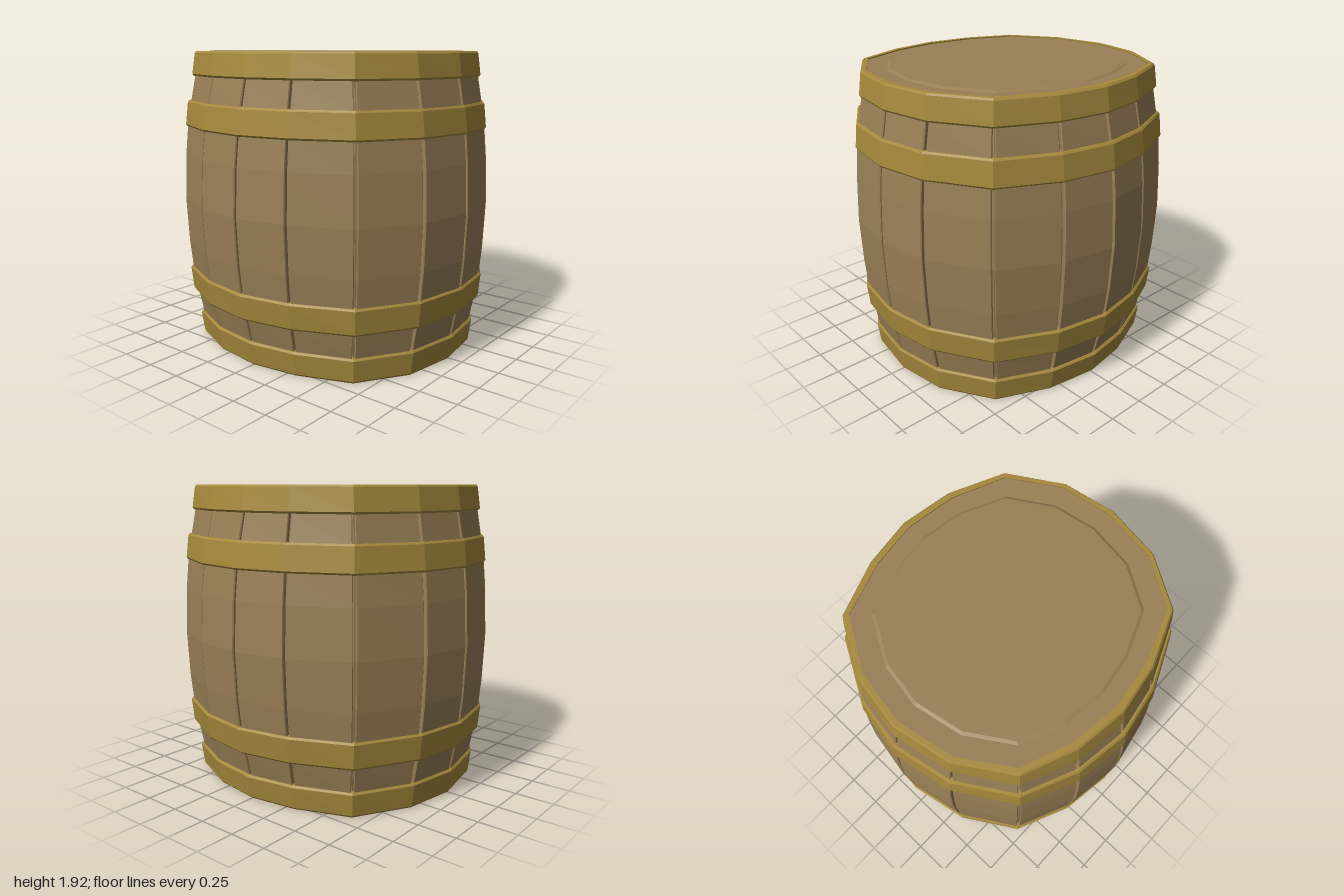
import * as THREE from 'three';

const HEIGHT = 1.92;
const BELLY = 0.97;
const RIM = 0.85;
const wood = new THREE.MeshStandardMaterial({ color: 0x997f56, flatShading: true });
const brass = new THREE.MeshStandardMaterial({ color: 0xa5893c, flatShading: true });

// Hand-cut, slightly uneven 16-sided outline at the belly, as [x, z]
const BELLY_OUTLINE = [
  [0.97, 0], [0.907, 0.36], [0.72, 0.73], [0.345, 0.945],
  [0, 1], [-0.375, 0.935], [-0.735, 0.715], [-0.905, 0.345],
  [-0.97, 0], [-0.915, -0.355], [-0.75, -0.705], [-0.385, -0.925],
  [0, -1], [0.35, -0.935], [0.74, -0.72], [0.907, -0.344],
];
const SIDES = BELLY_OUTLINE.length;

// Corner k drawn in from the belly until its side radius is r
function corner(k, r, y) {
  const [x, z] = BELLY_OUTLINE[k % SIDES];
  const inset = BELLY - r;
  return new THREE.Vector3(x - inset * 1.05 * x * Math.abs(x), y, z - inset * 0.77 * z);
}
const outline = (r, y) => BELLY_OUTLINE.map((_, k) => corner(k, r, y));

// Outline of the end discs: the rim scaled evenly to side radius r
const endOutline = (r, y) => outline(RIM, y).map((p) => p.multiply(new THREE.Vector3(r / RIM, 1, r / RIM)));

// Skin a series of loops; either cap the ends or join the last loop to the first
function loft(loops, joined = false) {
  const pos = [];
  const tri = (...pts) => pts.forEach((p) => pos.push(p.x, p.y, p.z));
  const n = loops[0].length;
  const spans = joined ? loops.length : loops.length - 1;
  for (let i = 0; i < spans; i++) {
    const a = loops[i], b = loops[(i + 1) % loops.length];
    for (let j = 0; j < n; j++) {
      const m = (j + 1) % n;
      tri(a[j], b[j], b[m]);
      tri(a[j], b[m], a[m]);
    }
  }
  if (!joined) {
    const middle = (l) => l.reduce((s, p) => s.add(p), new THREE.Vector3()).divideScalar(n);
    const first = loops[0], last = loops[loops.length - 1];
    const c0 = middle(first), c1 = middle(last);
    for (let j = 0; j < n; j++) {
      const m = (j + 1) % n;
      tri(c0, first[j], first[m]);
      tri(c1, last[m], last[j]);
    }
  }
  const g = new THREE.BufferGeometry();
  g.setAttribute('position', new THREE.Float32BufferAttribute(pos, 3));
  g.computeVertexNormals();
  return g;
}

export function createModel() {
  const barrel = new THREE.Group();
  barrel.name = 'barrel';
  const add = (name, geometry, material, parent = barrel) => {
    const mesh = new THREE.Mesh(geometry, material);
    mesh.name = name;
    parent.add(mesh);
  };

  // Bulging side profile as [radius, height], mirrored about the middle
  const lower = [[0.825, 0.02], [0.858, 0.16], [0.897, 0.32], [0.928, 0.46], [0.953, 0.66]];
  const profile = [...lower, [BELLY, HEIGHT / 2],
    ...lower.map(([r, y]) => [r, HEIGHT - y]).reverse()];

  // Core: recessed underside, walls behind the stave gaps, rim and slightly raised lid
  add('coreAndLid', loft([
    endOutline(0.68, 0.095), endOutline(0.7, 0.005), outline(0.8, 0.005),
    ...profile.map(([r, y]) => outline(r - 0.035, y)),
    outline(0.81, HEIGHT - 0.008), endOutline(0.7, HEIGHT - 0.014), endOutline(0.682, HEIGHT - 0.004),
  ]), wood);

  // Staves with bevelled long edges and a narrow gap between neighbours
  const staves = new THREE.Group();
  staves.name = 'staves';
  barrel.add(staves);
  const section = [[-0.06, 0.02], [-0.008, 0.02], [0, 0.034], [0, 0.966], [-0.008, 0.98], [-0.06, 0.98]];
  for (let k = 0; k < SIDES; k++) {
    const loops = profile.map(([r, y]) =>
      section.map(([d, t]) => corner(k, r + d, y).lerp(corner(k + 1, r + d, y), t)));
    add('stave', loft(loops), wood, staves);
  }

  // Chamfered hoops: name, bottom height and radius, top height and radius
  const hoops = [
    ['bottomHoop', 0, 0.852, 0.16, 0.876],
    ['lowerHoop', 0.316, 0.928, 0.487, 0.948],
    ['upperHoop', 1.437, 0.942, 1.606, 0.92],
    ['topHoop', 1.762, 0.876, HEIGHT, RIM],
  ];
  const c = 0.012;
  for (const [name, y0, r0, y1, r1] of hoops) {
    const ring = [
      [r0 - 0.05, y0], [r0 - c, y0], [r0, y0 + c],
      [r1, y1 - c], [r1 - c, y1], [r1 - 0.05, y1],
    ];
    add(name, loft(ring.map(([r, y]) => outline(r, y)), true), brass);
  }
  return barrel;
}
